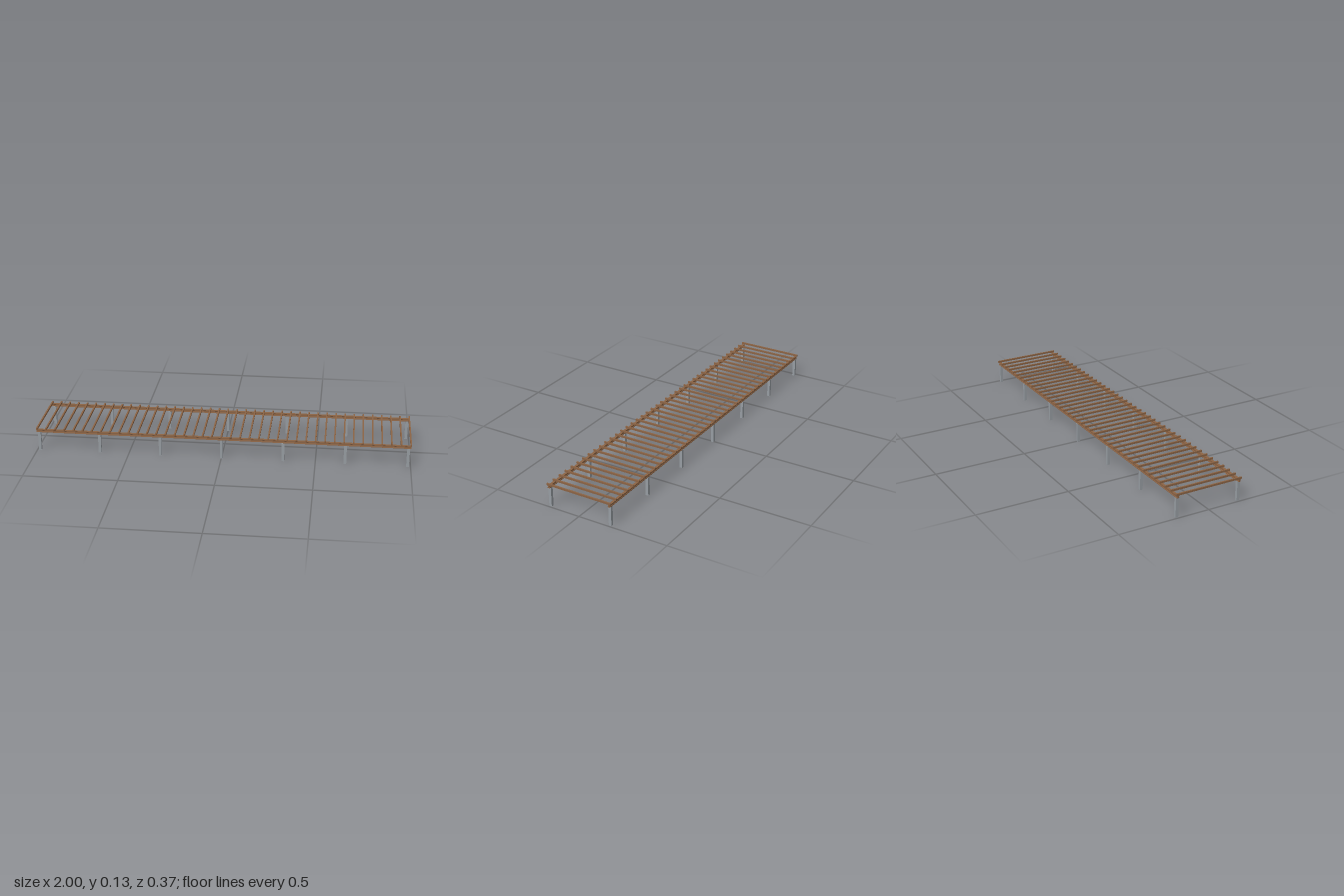
import * as THREE from 'three';

export function createModel() {
  const model = new THREE.Group();
  const wood = new THREE.MeshStandardMaterial({ name: 'brown wood', color: 0x8b6344 });
  const steel = new THREE.MeshStandardMaterial({ name: 'grey steel', color: 0x979da2 });

  const sideZ = 0.176;   // centre line of each row of posts
  const postTop = 0.105;
  const beamTop = 0.12;

  const add = (name, geometry, material, x, y, z) => {
    const mesh = new THREE.Mesh(geometry, material);
    mesh.name = name;
    mesh.position.set(x, y, z);
    model.add(mesh);
  };

  // I-shaped beam section, drawn as one half and mirrored, then run along x
  const half = [[0.0065, 0], [0.0065, 0.003], [0.0045, 0.005], [0.0045, 0.011], [0.0065, 0.0125], [0.0065, 0.015]];
  const outline = [...half, ...half.map(([x, y]) => [-x, y]).reverse()];
  const section = new THREE.Shape(outline.map(([x, y]) => new THREE.Vector2(x, y)));
  const length = 1.996;
  const beamGeometry = new THREE.ExtrudeGeometry(section, { depth: length, bevelEnabled: false });
  beamGeometry.translate(0, 0, -length / 2).rotateY(Math.PI / 2);

  // Two long beams, each on seven posts
  const postGeometry = new THREE.BoxGeometry(0.015, postTop, 0.015);
  for (const side of [1, -1]) {
    add('beam', beamGeometry, wood, 0, postTop, side * sideZ);
    for (let i = -3; i <= 3; i++) {
      add('post', postGeometry, steel, i * 0.328, postTop / 2, side * sideZ);
    }
  }

  // Joists laid across the beams
  const joistGeometry = new THREE.BoxGeometry(0.008, 0.01, 0.374);
  for (let i = -20; i <= 20; i++) {
    add('joist', joistGeometry, wood, i * 0.0498, beamTop + 0.005, 0);
  }

  return model;
}
